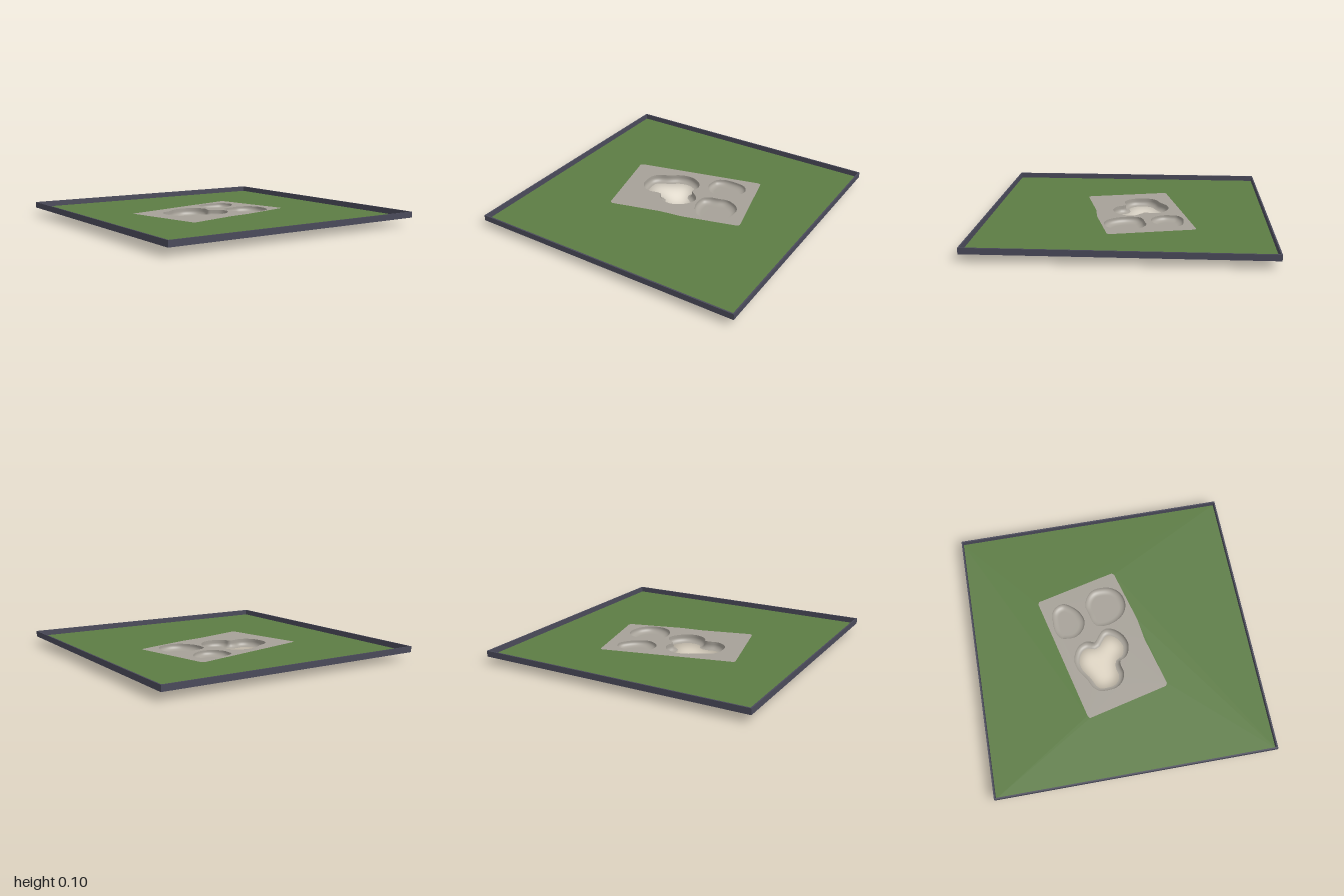
import * as THREE from 'three';

const GROUND = 0.056, RIM = 0.096;

// Outlines as [x, z], clockwise seen from above
const PATCH = [[-0.544, -0.26], [-0.523, -0.273], [0.39, -0.493], [0.41, -0.485], [0.547, 0.094],
  [0.534, 0.112], [0.142, 0.217], [-0.024, 0.241], [-0.383, 0.335], [-0.405, 0.324]];
const LARGE = [[-0.105, -0.298], [-0.035, -0.28], [0.013, -0.244], [0.035, -0.19], [0.028, -0.155],
  [0.018, -0.128], [0.05, -0.1], [0.099, -0.056], [0.11, -0.013], [0.083, 0.046], [0.03, 0.094],
  [-0.035, 0.115], [-0.105, 0.099], [-0.142, 0.067], [-0.155, 0.034], [-0.196, 0.032], [-0.25, 0.043],
  [-0.308, 0.024], [-0.35, -0.024], [-0.362, -0.088], [-0.357, -0.153], [-0.324, -0.196],
  [-0.25, -0.233], [-0.18, -0.28]];
const BACK = [[0.083, -0.33], [0.094, -0.367], [0.147, -0.4], [0.233, -0.407], [0.314, -0.394],
  [0.351, -0.357], [0.362, -0.308], [0.33, -0.25], [0.276, -0.2], [0.206, -0.174], [0.153, -0.185],
  [0.11, -0.217], [0.083, -0.265]];
const FRONT = [[0.244, -0.131], [0.314, -0.147], [0.389, -0.12], [0.432, -0.072], [0.442, -0.003],
  [0.426, 0.072], [0.373, 0.131], [0.292, 0.153], [0.217, 0.131], [0.164, 0.072], [0.137, -0.003],
  [0.142, -0.083], [0.18, -0.115]];

const smooth = (pts, n = 96) => new THREE.CatmullRomCurve3(
  pts.map(([x, z]) => new THREE.Vector3(x, 0, z)), true).getSpacedPoints(n).slice(0, n).map((p) => [p.x, p.z]);

const to2D = (pts) => pts.map(([x, z]) => new THREE.Vector2(x, -z));

// Flat sheet with holes, lying at ground level
function sheet(outline, holes) {
  const shape = new THREE.Shape(to2D(outline));
  holes.forEach((h) => shape.holes.push(new THREE.Path(to2D(h))));
  return new THREE.ShapeGeometry(shape).rotateX(-Math.PI / 2).translate(0, GROUND, 0);
}

// Basin wall: the rim outline stepped down and inwards with a rounded foot
function basin(rim, bottom, radius, closed) {
  const n = rim.length, steps = 8, pos = [], index = [];
  const inward = rim.map((p, i) => {
    const a = rim[(i + n - 1) % n], b = rim[(i + 1) % n];
    const len = Math.hypot(b[0] - a[0], b[1] - a[1]);
    return [-(b[1] - a[1]) / len, (b[0] - a[0]) / len];
  });
  const depth = GROUND - bottom, drop = Math.min(radius, depth * 0.75);
  const profile = [[0, GROUND]];
  for (let k = 0; k <= steps; k++) {
    const t = (k / steps) * Math.PI / 2;
    profile.push([radius * (1 - Math.cos(t)), bottom + drop * (1 - Math.sin(t))]);
  }
  profile.forEach(([inset, y]) => rim.forEach(([x, z], i) =>
    pos.push(x + inward[i][0] * inset, y, z + inward[i][1] * inset)));
  for (let r = 0; r < profile.length - 1; r++) {
    for (let i = 0; i < n; i++) {
      const j = (i + 1) % n, a = r * n + i, b = r * n + j;
      index.push(a, a + n, b, b, a + n, b + n);
    }
  }
  // Flat floor
  if (closed) {
    const base = (profile.length - 1) * n, mid = pos.length / 3;
    const cx = rim.reduce((s, p) => s + p[0], 0) / n, cz = rim.reduce((s, p) => s + p[1], 0) / n;
    pos.push(cx, bottom, cz);
    for (let i = 0; i < n; i++) index.push(base + i, mid, base + (i + 1) % n);
  }
  const g = new THREE.BufferGeometry();
  g.setAttribute('position', new THREE.Float32BufferAttribute(pos, 3));
  g.setIndex(index);
  g.computeVertexNormals();
  return g;
}

export function createModel() {
  const group = new THREE.Group();
  const material = (name, color) => {
    const m = new THREE.MeshStandardMaterial({ color, side: THREE.DoubleSide });
    m.name = name;
    return m;
  };
  const grass = material('grass green', 0x5c7c44);
  const stone = material('stone grey', 0xa6a198);
  const edge = material('slate edge', 0x4a4a5a);
  const add = (name, geometry, mat) => {
    const mesh = new THREE.Mesh(geometry, mat);
    mesh.name = name;
    group.add(mesh);
    return mesh;
  };

  // Lawn with the paved patch set into it
  const large = smooth(LARGE), back = smooth(BACK), front = smooth(FRONT);
  const e = 0.992;
  add('lawn', sheet([[-e, -e], [e, -e], [e, e], [-e, e]], [PATCH]), grass);
  add('pavedPatch', sheet(PATCH, [large, back, front]), stone);

  // Sunken basins; the large one has no floor
  add('largeOpenBasin', basin(large, 0, 0.035, false), stone);
  add('backBasin', basin(back, 0.014, 0.045, true), stone);
  add('frontBasin', basin(front, 0.01, 0.045, true), stone);

  // Thin border around the lawn
  const t = 0.01, h = RIM - GROUND + 0.002;
  for (const s of [-1, 1]) {
    add(s > 0 ? 'frontBorder' : 'backBorder', new THREE.BoxGeometry(2, h, t), edge)
      .position.set(0, RIM - h / 2, s * (1 - t / 2));
    add(s > 0 ? 'leftBorder' : 'rightBorder', new THREE.BoxGeometry(t, h, 2 - 2 * t), edge)
      .position.set(s * (1 - t / 2), RIM - h / 2, 0);
  }
  return group;
}
